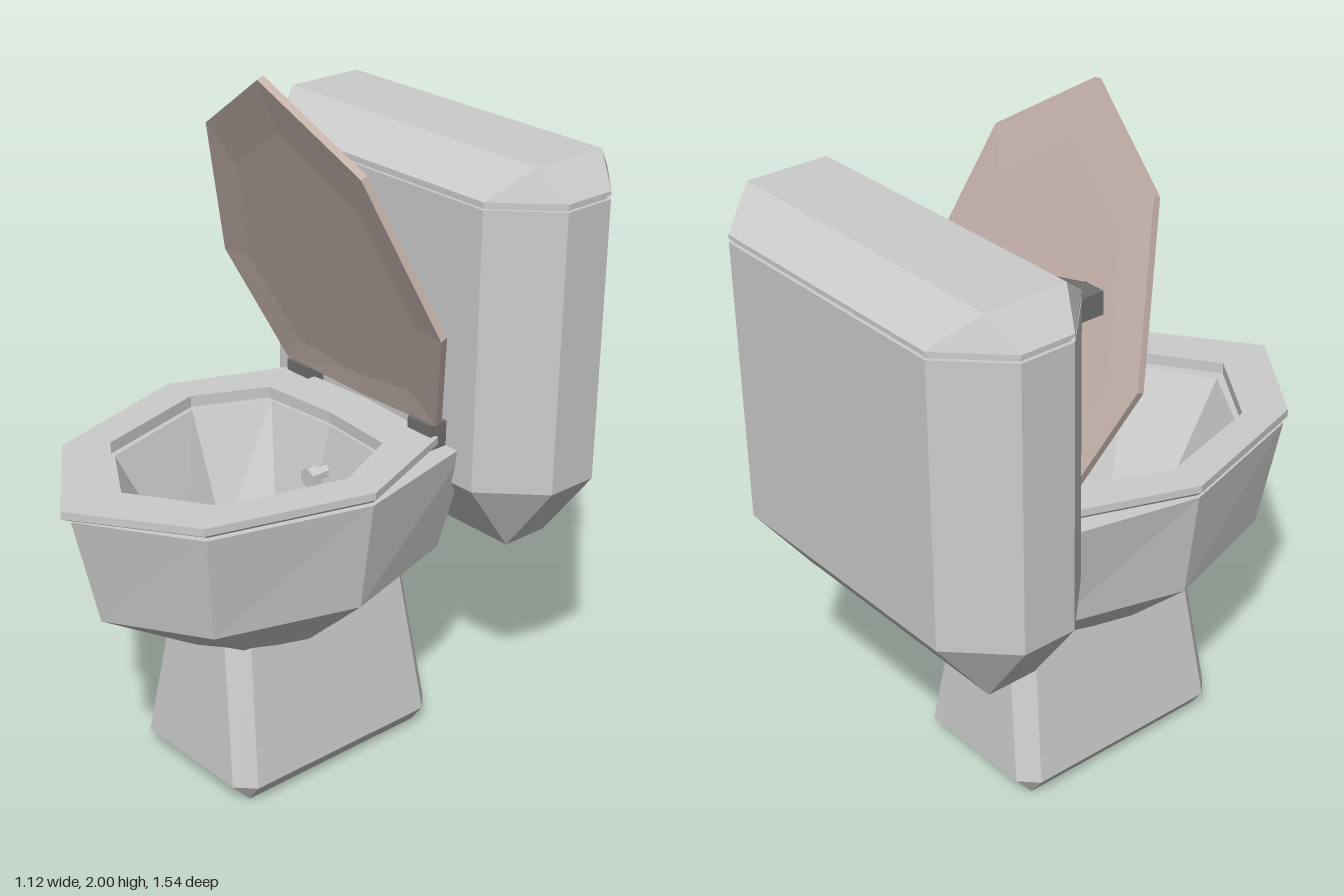
import * as THREE from 'three';

const paint = (color) => new THREE.MeshStandardMaterial({ color, flatShading: true });
const grey = paint(0xcccccc);
const brown = paint(0xc4b2aa);
const dark = paint(0x707070);

// Skins a list of equal-length rings (counter-clockwise from above) and caps both ends
function loft(name, rings, material, closed = false) {
  const pos = [];
  const a = new THREE.Vector3(), b = new THREE.Vector3();
  const tri = (p, q, r) => {
    a.subVectors(q, p);
    b.subVectors(r, p);
    if (a.cross(b).length() > 1e-8) for (const v of [p, q, r]) pos.push(v.x, v.y, v.z);
  };
  const n = rings[0].length;
  const steps = closed ? rings.length : rings.length - 1;
  for (let k = 0; k < steps; k++) {
    const lo = rings[k], hi = rings[(k + 1) % rings.length];
    for (let i = 0; i < n; i++) {
      const j = (i + 1) % n;
      tri(lo[i], lo[j], hi[j]);
      tri(lo[i], hi[j], hi[i]);
    }
  }
  if (!closed) {
    const first = rings[0], last = rings[rings.length - 1];
    for (let i = 1; i < n - 1; i++) {
      tri(first[0], first[i + 1], first[i]);
      tri(last[0], last[i], last[i + 1]);
    }
  }
  const geo = new THREE.BufferGeometry();
  geo.setAttribute('position', new THREE.Float32BufferAttribute(pos, 3));
  geo.computeVertexNormals();
  const mesh = new THREE.Mesh(geo, material);
  mesh.name = name;
  return mesh;
}

// Mirrored ring from [x, z] points running from front centre to back centre
function oval(y, half) {
  const left = half.map(([x, z]) => new THREE.Vector3(x, y, z));
  const right = half.slice(1, -1).reverse().map(([x, z]) => new THREE.Vector3(-x, y, z));
  return [...left, ...right];
}

// Rectangle with chamfered corners
function chamfered(y, x, front, back, cx = 0, cz = cx) {
  return [[x - cx, front], [x, front - cz], [x, back + cz], [x - cx, back],
    [-x + cx, back], [-x, back + cz], [-x, front - cz], [-x + cx, front]]
    .map(([px, pz]) => new THREE.Vector3(px, y, pz));
}

function box(name, w, h, d, x, y, z, material) {
  const mesh = new THREE.Mesh(new THREE.BoxGeometry(w, h, d), material);
  mesh.position.set(x, y, z);
  mesh.name = name;
  return mesh;
}

export function createModel() {
  const model = new THREE.Group();
  model.name = 'toilet';

  // Pedestal
  model.add(loft('pedestal', [
    chamfered(0, 0.195, 0.32, -0.3),
    chamfered(0.06, 0.24, 0.375, -0.35, 0.05),
    chamfered(0.56, 0.16, 0.335, -0.305, 0.055, 0.05),
  ], grey));

  // Bowl: outside up to the rim, then down the inside
  model.add(loft('bowl', [
    oval(0.4, [[0, 0.31], [0.12, 0.23], [0.155, 0.09], [0.11, -0.1], [0, -0.14]]),
    oval(0.62, [[0, 0.66], [0.265, 0.49], [0.39, 0.09], [0.28, -0.3], [0, -0.47]]),
    oval(0.945, [[0, 0.74], [0.305, 0.54], [0.435, 0.09], [0.33, -0.37], [0, -0.47]]),
    oval(0.945, [[0, 0.575], [0.235, 0.43], [0.33, 0.09], [0.23, -0.12], [0, -0.14]]),
    oval(0.58, [[0, 0.355], [0.13, 0.28], [0.19, 0.09], [0.1, -0.03], [0, -0.05]]),
  ], grey));

  // Water inlet on the back wall of the bowl
  const inlet = new THREE.Group();
  inlet.name = 'waterInlet';
  const stem = new THREE.Mesh(new THREE.CylinderGeometry(0.02, 0.02, 0.08, 6), grey);
  stem.rotation.x = Math.PI / 2;
  const tip = new THREE.Mesh(new THREE.CylinderGeometry(0.03, 0.03, 0.03, 6), grey);
  tip.rotation.x = Math.PI / 2;
  tip.position.z = 0.045;
  inlet.add(stem, tip);
  inlet.position.set(0.02, 0.82, -0.1);
  model.add(inlet);

  // Seat ring with a small undercut
  const outer = [[0, 0.77], [0.31, 0.55], [0.443, 0.09], [0.31, -0.26], [0, -0.28]];
  const hole = [[0, 0.6], [0.24, 0.44], [0.335, 0.09], [0.24, -0.12], [0, -0.14]];
  const under = outer.map(([x, z]) => [x * 0.97, z * 0.97]);
  model.add(loft('seat', [
    oval(0.952, hole), oval(0.952, under), oval(0.964, outer), oval(0.986, outer), oval(0.986, hole),
  ], grey, true));

  // Raised lid, shaped lying flat from its hinge line and then tipped open
  const edge = [[0, 1.045], [0.31, 0.83], [0.443, 0.36], [0.31, 0.01], [0, 0]];
  const panel = [[0, 0.88], [0.24, 0.71], [0.34, 0.36], [0.23, 0.1], [0, 0.07]];
  const lid = loft('lid', [
    oval(0.008, panel), oval(0, edge), oval(0.022, edge), oval(0.027, panel),
  ], brown);
  lid.rotation.x = -1.21;
  lid.position.set(0, 1.01, -0.255);
  model.add(lid);

  // Lid hinges
  for (const side of [-1, 1]) {
    model.add(box('hinge', 0.09, 0.08, 0.06, side * 0.255, 0.98, -0.27, dark));
  }

  // Tank body and its lid
  model.add(loft('tank', [
    chamfered(0.62, 0.4, -0.455, -0.605),
    chamfered(0.84, 0.56, -0.3, -0.77, 0.155),
    chamfered(1.655, 0.56, -0.3, -0.77, 0.155),
    chamfered(1.655, 0.55, -0.31, -0.76, 0.15),
    chamfered(1.67, 0.55, -0.31, -0.76, 0.15),
  ], grey));
  model.add(loft('tankLid', [
    chamfered(1.667, 0.56, -0.3, -0.77, 0.155),
    chamfered(1.677, 0.56, -0.3, -0.77, 0.155),
    chamfered(1.765, 0.48, -0.412, -0.657),
  ], grey));

  // Flush handle: a mount with a tapering lever
  const handle = new THREE.Group();
  handle.name = 'flushHandle';
  handle.add(box('handleMount', 0.07, 0.065, 0.1, -0.335, 1.597, -0.25, dark));
  const lever = box('handleLever', 0.1, 0.06, 0.06, -0.25, 1.597, -0.23, dark);
  const p = lever.geometry.attributes.position;
  for (let i = 0; i < p.count; i++) {
    if (p.getX(i) > 0) p.setXYZ(i, p.getX(i), p.getY(i) * 0.6, p.getZ(i) * 0.4 - 0.005);
  }
  lever.geometry.computeVertexNormals();
  handle.add(lever);
  model.add(handle);

  return model;
}
